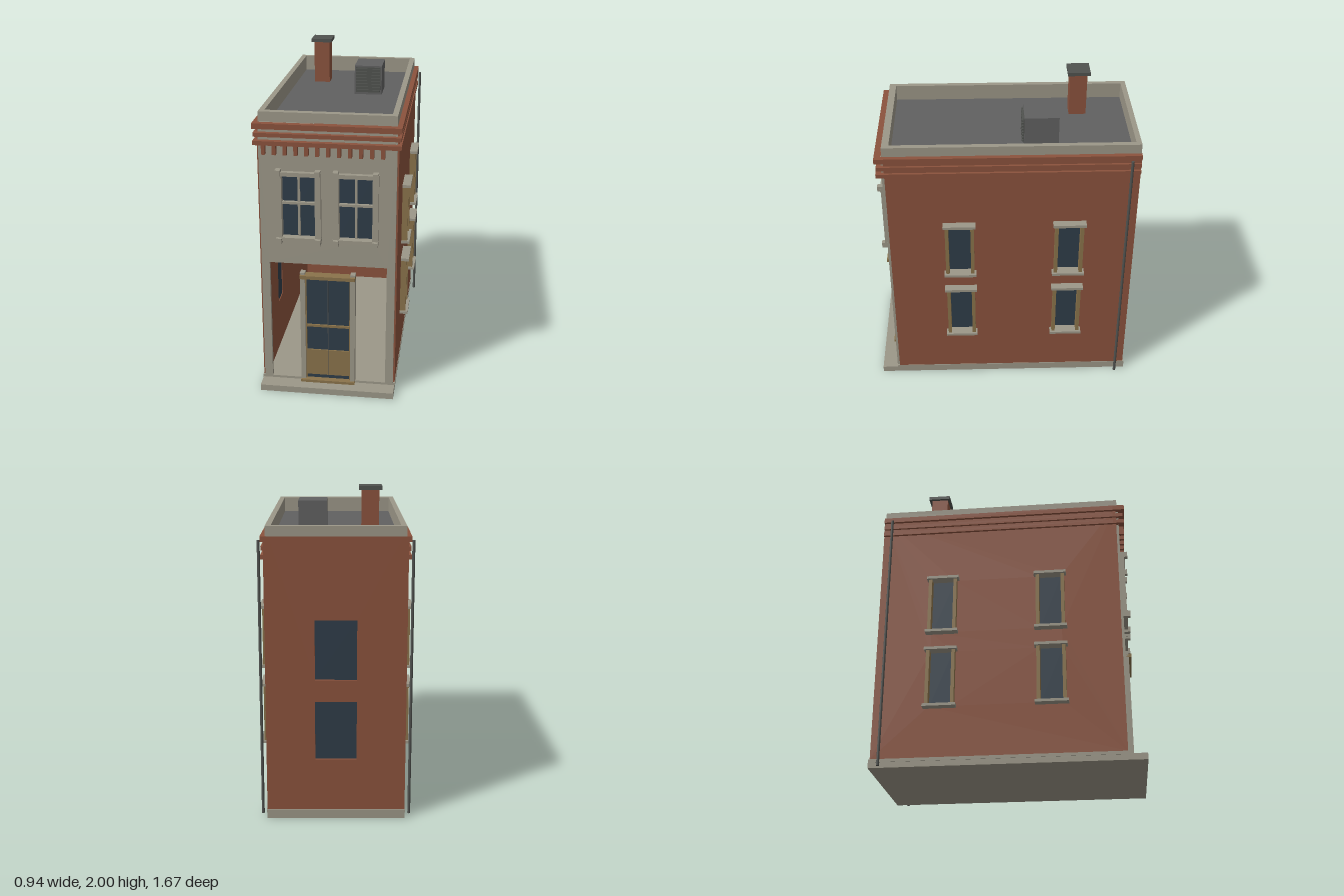
import * as THREE from 'three';

const mat = (name, color) => {
  const m = new THREE.MeshStandardMaterial({ color });
  m.name = name;
  return m;
};

export function createModel() {
  const brick = mat('brick', 0x8b533d);
  const stone = mat('stone', 0x9c9788);
  const wood = mat('tan wood', 0x8a734b);
  const roofGrey = mat('roof grey', 0x616161);
  const metal = mat('dark metal', 0x50524f);
  const glass = mat('dark glass', 0x2f3d49);

  const model = new THREE.Group();
  model.name = 'townhouse';

  const group = (name, parent = model) => {
    const g = new THREE.Group();
    g.name = name;
    parent.add(g);
    return g;
  };
  // Box given by its limits on each axis
  const box = (name, m, [x0, x1], [y0, y1], [z0, z1], parent = model) => {
    const mesh = new THREE.Mesh(new THREE.BoxGeometry(x1 - x0, y1 - y0, z1 - z0), m);
    mesh.position.set((x0 + x1) / 2, (y0 + y1) / 2, (z0 + z1) / 2);
    mesh.name = name;
    parent.add(mesh);
    return mesh;
  };
  // Upright wall with rectangular holes [u0, u1, v0, v1]
  const wallGeometry = (outline, holes, depth) => {
    const shape = new THREE.Shape(outline.map(p => new THREE.Vector2(...p)));
    for (const [a, b, c, d] of holes) {
      shape.holes.push(new THREE.Path([[a, c], [a, d], [b, d], [b, c]].map(p => new THREE.Vector2(...p))));
    }
    return new THREE.ExtrudeGeometry(shape, { depth, bevelEnabled: false });
  };
  const rect = (u0, u1, v0, v1) => [[u0, v0], [u1, v0], [u1, v1], [u0, v1]];
  const floors = [[0.38, 0.745], [0.88, 1.245]];

  // Base slab and step
  box('baseSlab', stone, [-0.42, 0.42], [0, 0.04], [-0.835, 0.835]);
  box('basePlinth', stone, [-0.423, 0.423], [0.035, 0.055], [-0.833, 0.735]);

  // Side walls, windows, cornice bands and drainpipes
  const centres = [0.28, -0.41];
  for (const s of [1, -1]) {
    const holes = centres.flatMap(z => floors.map(([a, b]) => [-z - 0.07, -z + 0.07, a, b]));
    const wall = new THREE.Mesh(wallGeometry(rect(-0.72, 0.825, 0.055, 1.74), holes, 0.03), brick);
    wall.rotation.y = Math.PI / 2;
    wall.position.x = s > 0 ? 0.39 : -0.42;
    wall.name = 'sideWall';
    model.add(wall);

    const sx = (a, b) => (s > 0 ? [a, b] : [-b, -a]);
    for (const z of centres) {
      for (const [a, b] of floors) {
        const w = group('sideWindow');
        box('pane', glass, sx(0.395, 0.405), [a, b], [z - 0.07, z + 0.07], w);
        for (const e of [-0.08, 0.08]) {
          box('windowPost', wood, sx(0.4, 0.457), [a, b], [z + e - 0.011, z + e + 0.011], w);
        }
        box('lintel', stone, sx(0.4, 0.472), [b - 0.002, b + 0.016], [z - 0.103, z + 0.103], w);
        box('sill', stone, sx(0.4, 0.472), [a - 0.014, a + 0.003], [z - 0.103, z + 0.103], w);
      }
    }
    const pipe = new THREE.Mesh(new THREE.CylinderGeometry(0.009, 0.009, 1.705, 10), metal);
    pipe.position.set(s * 0.451, 0.8575, -0.767);
    pipe.name = 'drainpipe';
    model.add(pipe);
  }

  // Back wall with two windows
  const back = new THREE.Mesh(
    wallGeometry(rect(-0.39, 0.39, 0.055, 1.74), floors.map(([a, b]) => [-0.125, 0.125, a, b]), 0.03), brick);
  back.position.z = -0.825;
  back.name = 'backWall';
  model.add(back);
  for (const [a, b] of floors) box('backPane', glass, [-0.125, 0.125], [a, b], [-0.812, -0.802]);

  // Stone front with an open porch and two window openings
  const windowX = [-0.173, 0.171];
  const outline = [[-0.41, 0.055], [-0.36, 0.055], [-0.36, 0.85], [0.36, 0.85],
    [0.36, 0.055], [0.41, 0.055], [0.41, 1.74], [-0.41, 1.74]];
  const front = new THREE.Mesh(
    wallGeometry(outline, windowX.map(x => [x - 0.1, x + 0.1, 1.03, 1.42]), 0.025), stone);
  front.position.z = 0.711;
  front.name = 'frontFacade';
  model.add(front);

  // Upper front windows
  for (const x of windowX) {
    const w = group('frontWindow');
    box('pane', glass, [x - 0.105, x + 0.105], [1.025, 1.425], [0.705, 0.717], w);
    box('verticalBar', stone, [x - 0.007, x + 0.007], [1.03, 1.42], [0.715, 0.732], w);
    box('crossBar', stone, [x - 0.1, x + 0.1], [1.237, 1.252], [0.715, 0.74], w);
    box('lintel', stone, [x - 0.137, x + 0.137], [1.42, 1.445], [0.73, 0.767], w);
    box('sill', stone, [x - 0.137, x + 0.137], [1.007, 1.03], [0.73, 0.767], w);
    for (const s of [-1, 1]) {
      const c = x + s * 0.118;
      box('windowPost', stone, [c - 0.018, c + 0.018], [1.03, 1.42], [0.73, 0.762], w);
      box('upperBlock', stone, [c - 0.016, c + 0.016], [1.425, 1.46], [0.73, 0.783], w);
      box('lowerBlock', stone, [c - 0.016, c + 0.016], [0.99, 1.028], [0.73, 0.783], w);
    }
  }

  // Double door standing in its frame
  const door = group('frontDoor');
  box('doorGlass', glass, [-0.14, 0.14], [0.06, 0.77], [0.722, 0.736], door);
  box('kickPanel', wood, [-0.14, 0.14], [0.088, 0.265], [0.718, 0.744], door);
  box('middleRail', wood, [-0.14, 0.14], [0.427, 0.442], [0.718, 0.746], door);
  box('threshold', wood, [-0.17, 0.17], [0.045, 0.062], [0.715, 0.775], door);
  box('doorLintel', wood, [-0.17, 0.17], [0.765, 0.787], [0.715, 0.777], door);
  box('centreSeam', metal, [-0.002, 0.002], [0.088, 0.77], [0.72, 0.745], door);
  for (const s of [-1, 1]) {
    box('doorPost', stone, [s * 0.155 - 0.015, s * 0.155 + 0.015], [0.055, 0.8], [0.715, 0.76], door);
    box('doorEdge', wood, [s * 0.137 - 0.004, s * 0.137 + 0.004], [0.06, 0.77], [0.718, 0.744], door);
  }

  // Cornice bands around the front and sides
  const cornice = group('cornice');
  for (const [y0, y1, f, x] of [[1.707, 1.74, 0.775, 0.438], [1.657, 1.681, 0.765, 0.434], [1.607, 1.633, 0.77, 0.436]]) {
    box('frontBand', brick, [-x, x], [y0, y1], [0.7, f], cornice);
    for (const s of [-1, 1]) {
      box('sideBand', brick, s > 0 ? [0.4, x] : [-x, -0.4], [y0, y1], [-0.825, 0.7], cornice);
    }
  }
  for (let i = 0; i < 12; i++) {
    const x = -0.375 + i * 0.064;
    box('dentil', brick, [x - 0.011, x + 0.011], [1.55, 1.608], [0.73, 0.768], cornice);
  }

  // Flat roof and parapet
  box('roof', roofGrey, [-0.385, 0.385], [1.67, 1.7], [-0.8, 0.705]);
  const parapetShape = new THREE.Shape(rect(-0.408, 0.408, -0.728, 0.822).map(p => new THREE.Vector2(...p)));
  parapetShape.holes.push(new THREE.Path(rect(-0.375, 0.375, -0.685, 0.79).reverse().map(p => new THREE.Vector2(...p))));
  const parapet = new THREE.Mesh(
    new THREE.ExtrudeGeometry(parapetShape, { depth: 0.12, bevelEnabled: false }), stone);
  parapet.rotation.x = -Math.PI / 2;
  parapet.position.y = 1.68;
  parapet.name = 'parapet';
  model.add(parapet);

  // Chimney
  box('chimneyStack', brick, [-0.257, -0.153], [1.69, 1.98], [-0.542, -0.433]);
  box('chimneyCap', metal, [-0.275, -0.137], [1.978, 2], [-0.56, -0.418]);

  // Rooftop ventilation unit with slatted grille
  const vent = group('roofVent');
  box('ventBox', roofGrey, [0.057, 0.235], [1.69, 1.89], [-0.34, -0.128], vent);
  box('grilleBack', metal, [0.066, 0.226], [1.715, 1.88], [-0.129, -0.124], vent);
  for (let i = 0; i < 8; i++) {
    const y = 1.722 + i * 0.02;
    box('slat', metal, [0.068, 0.224], [y, y + 0.01], [-0.126, -0.114], vent);
  }
  return model;
}
